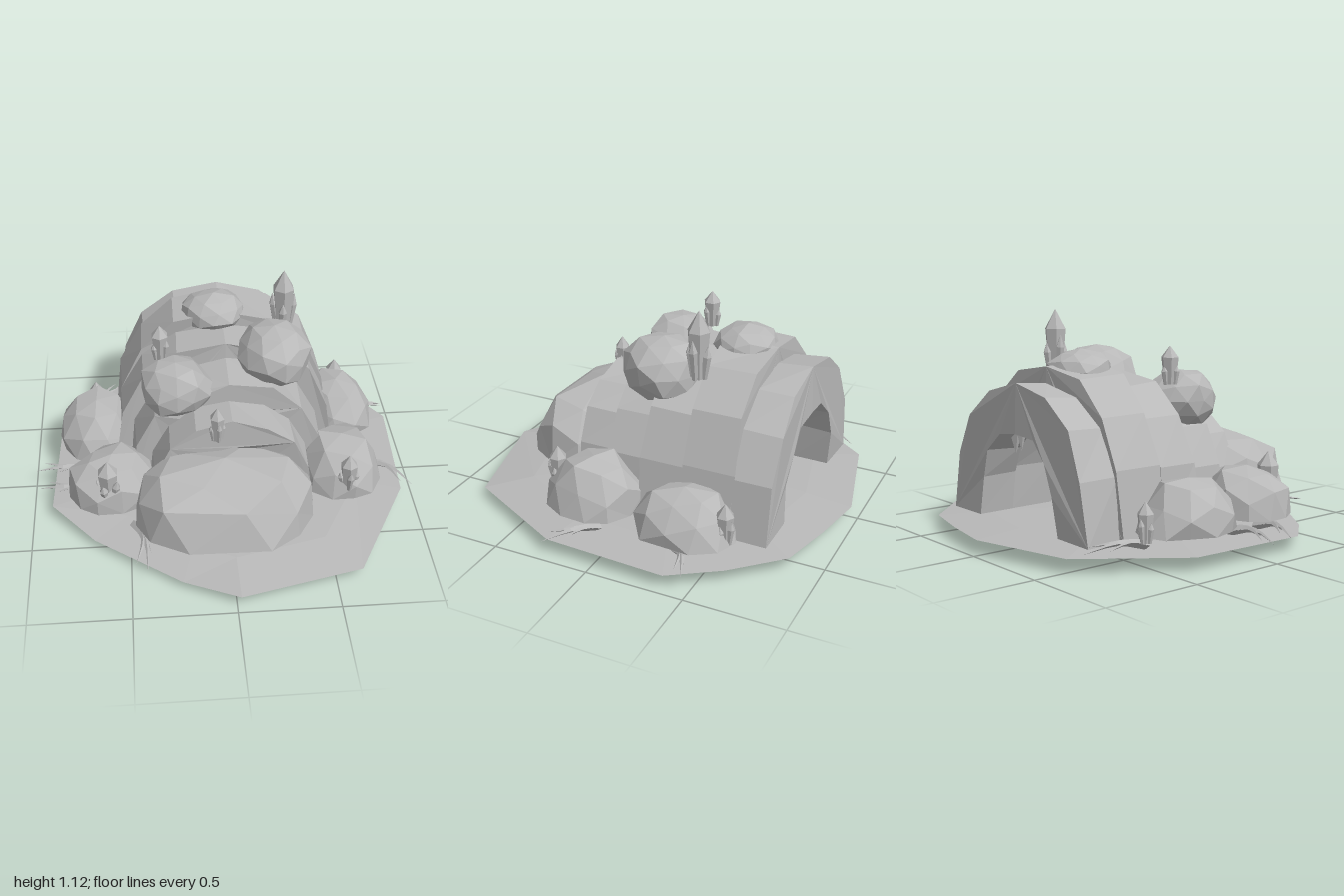
import * as THREE from 'three';

const stone = new THREE.MeshStandardMaterial({ color: 0xb8b8b8, flatShading: true });
stone.name = 'grey stone';

// Repeatable value in -0.5..0.5 from a position, so shared corners move together
function noise(x, y, z, seed) {
  const r = (v) => Math.round(v * 1000) / 1000 + 0;
  const s = Math.sin(r(x) * 12.99 + r(y) * 78.23 + r(z) * 37.72 + seed * 9.17) * 43758.55;
  return s - Math.floor(s) - 0.5;
}

const soften = (v, power) => Math.sign(v) * Math.pow(Math.abs(v), power);

function part(name, geometry, parent) {
  const mesh = new THREE.Mesh(geometry, stone);
  mesh.name = name;
  parent.add(mesh);
  return mesh;
}

// Faceted boulder, cut flat below floorY (in unit-sphere height); power under 1 makes it blockier
function boulder(name, parent, centre, size, floorY, seed, power = 1) {
  const g = new THREE.IcosahedronGeometry(1, 1);
  g.rotateY(seed * 1.3);
  const p = g.attributes.position;
  const v = new THREE.Vector3();
  for (let i = 0; i < p.count; i++) {
    v.fromBufferAttribute(p, i);
    v.multiplyScalar(1 + 0.16 * noise(v.x, v.y, v.z, seed));
    p.setXYZ(i, soften(v.x, power) * size[0], Math.max(soften(v.y, power), floorY) * size[1], v.z * size[2]);
  }
  g.computeVertexNormals();
  part(name, g, parent).position.set(...centre);
}

// Shallow irregular ground slab: top fan, and a bottom bulging downwards
function groundGeometry() {
  // Rim corners: x, z, height
  const rim = [[0.02, -0.97, 0.07], [0.3, -0.92, 0.07], [0.58, -0.85, 0.07], [0.8, -0.62, 0.07],
    [0.96, -0.38, 0.07], [0.93, 0.25, 0.07], [0.63, 0.81, 0.055], [0.02, 0.96, 0.06], [-0.25, 0.82, 0.04],
    [-0.68, 0.5, 0.045], [-0.9, 0.25, 0.07], [-0.87, -0.38, 0.07], [-0.52, -0.84, 0.07]];
  const pos = [];
  const at = (i, k, y) => {
    const [x, z, h] = rim[i % rim.length];
    return [x * k, y ?? h, z * k];
  };
  for (let i = 0; i < rim.length; i++) {
    const a = at(i, 1), b = at(i + 1, 1);
    const ta = at(i, 0.75, 0.09), tb = at(i + 1, 0.75, 0.09);
    const ba = at(i, 0.6, 0.02), bb = at(i + 1, 0.6, 0.02);
    pos.push(...a, ...ta, ...b, ...b, ...ta, ...tb, 0, 0.105, 0, ...tb, ...ta);
    pos.push(...a, ...b, ...ba, ...b, ...bb, ...ba, 0, 0, 0, ...ba, ...bb);
  }
  const g = new THREE.BufferGeometry();
  g.setAttribute('position', new THREE.Float32BufferAttribute(pos, 3));
  g.computeVertexNormals();
  return g;
}

// One thick rough arch of the tunnel, from z0 (back) to z1 (front)
function archGeometry(halfWidth, top, z0, z1, thick, seed) {
  const n = 8, base = 0.1;
  const outline = (w, h) => Array.from({ length: n + 1 }, (_, i) => {
    const a = (i / n) * Math.PI;
    return new THREE.Vector2(soften(Math.cos(a), 0.88) * w, base + (i % n ? soften(Math.sin(a), 0.88) * h : 0));
  });
  const outer = outline(halfWidth, top - base);
  const inner = outline(halfWidth - thick, top - base - thick).reverse();
  const g = new THREE.ExtrudeGeometry(new THREE.Shape([...outer, ...inner]), { depth: z1 - z0, bevelEnabled: false });
  const p = g.attributes.position;
  for (let i = 0; i < p.count; i++) {
    const x = p.getX(i), y = p.getY(i), z = p.getZ(i);
    const k = 1 + 0.04 * noise(x, y, z, seed);
    p.setXYZ(i, x * k, base + (y - base) * k, z + 0.025 * noise(y, z, x, seed));
  }
  g.computeVertexNormals();
  return g.translate(0.025, 0, z0);
}

// Hexagonal crystal with a pointed tip and narrower foot
function crystalGeometry(r, h) {
  const profile = [[0, 0], [r * 0.65, 0], [r, h * 0.7], [0, h]].map((p) => new THREE.Vector2(...p));
  return new THREE.LatheGeometry(profile, 6);
}

function crystalCluster(parent, x, y, z, r, h, shards, splay = 0.12) {
  const group = new THREE.Group();
  group.name = 'crystalCluster';
  group.position.set(x, y, z);
  part('mainCrystal', crystalGeometry(r, h), group);
  for (let i = 0; i < shards; i++) {
    const a = (i / shards) * Math.PI * 2 + x * 5;
    const shard = part('smallCrystal', crystalGeometry(r * 0.4, h * (0.5 + 0.12 * (i % 2))), group);
    shard.position.set(Math.cos(a) * r * 0.55, 0, Math.sin(a) * r * 0.55);
    shard.rotation.set(Math.sin(a) * splay, 0, -Math.cos(a) * splay);
  }
  parent.add(group);
}

// Tube narrowing to a point along its path
function bladeGeometry(points, radius) {
  const n = 6, sides = 4;
  const curve = new THREE.CatmullRomCurve3(points.map((p) => new THREE.Vector3(...p)));
  const g = new THREE.TubeGeometry(curve, n, radius, sides, false);
  const p = g.attributes.position;
  const v = new THREE.Vector3();
  for (let i = 0; i < p.count; i++) {
    const t = Math.floor(i / (sides + 1)) / n;
    v.fromBufferAttribute(p, i).lerp(curve.getPointAt(t), t);
    p.setXYZ(i, v.x, v.y, v.z);
  }
  return g;
}

// Three curved blades lying close together, from a root towards a tip
function tuft(parent, [x0, z0], [x1, z1]) {
  const group = new THREE.Group();
  group.name = 'grassTuft';
  const dx = x1 - x0, dz = z1 - z0;
  [[0, 1, 0.09], [0.13, 0.85, 0.11], [-0.12, 0.65, 0.1]].forEach(([side, k, y]) => {
    const sx = -dz * side, sz = dx * side;
    part('grassBlade', bladeGeometry([[x0, 0.1, z0],
      [x0 + dx * k * 0.5 + sx * 0.2 + dz * 0.08, 0.13, z0 + dz * k * 0.5 + sz * 0.2 - dx * 0.08],
      [x0 + dx * k + sx, y, z0 + dz * k + sz]], 0.024), group);
  });
  parent.add(group);
}

export function createModel() {
  const model = new THREE.Group();
  model.name = 'rockyTunnel';
  part('ground', groundGeometry(), model);

  // Stepped tunnel: half width, top height, back z, front z, wall thickness
  const tunnel = new THREE.Group();
  tunnel.name = 'tunnel';
  model.add(tunnel);
  [[0.56, 0.79, -0.74, -0.54, 0.23], [0.59, 0.87, -0.55, -0.29, 0.25], [0.58, 0.82, -0.3, -0.07, 0.23],
    [0.51, 0.72, -0.08, 0.15, 0.18], [0.42, 0.63, 0.14, 0.34, 0.15]]
    .forEach(([w, t, z0, z1, d], i) => part('tunnelArch', archGeometry(w, t, z0, z1, d, i + 1), tunnel));

  // Stalactites under the open end
  [[-0.16, 0.51, 0.12], [-0.04, 0.56, 0.1], [0.09, 0.56, 0.13], [0.2, 0.51, 0.11]].forEach(([x, y, h], i) => {
    const spike = part('stalactite', new THREE.ConeGeometry(0.035, h, 5), tunnel);
    spike.rotation.x = Math.PI;
    spike.position.set(x, y - h / 2 + 0.02, -0.66 + 0.04 * (i % 2));
  });

  // Boulders: centre, size, flat cut height
  boulder('frontBoulder', model, [-0.02, 0.165, 0.45], [0.475, 0.32, 0.31], 0, 1, 0.7);
  boulder('bedStone', model, [0, 0.09, 0.3], [0.4, 0.075, 0.16], 0, 9, 0.8);
  boulder('upperBoulder', model, [-0.24, 0.685, 0.085], [0.185, 0.15, 0.185], -1, 2);
  boulder('upperBoulder', model, [0.27, 0.77, -0.055], [0.195, 0.17, 0.21], -0.95, 3);
  boulder('topBoulder', model, [-0.015, 0.84, -0.375], [0.175, 0.1, 0.16], -1, 4);
  boulder('groundBoulder', model, [-0.58, 0.14, 0.22], [0.24, 0.25, 0.21], 0, 5);
  boulder('groundBoulder', model, [-0.66, 0.14, -0.24], [0.22, 0.26, 0.26], 0, 6);
  boulder('groundBoulder', model, [0.61, 0.14, 0.16], [0.22, 0.26, 0.25], 0, 7);
  boulder('groundBoulder', model, [0.66, 0.14, -0.35], [0.21, 0.24, 0.26], 0, 8);

  // Crystals: x, y, z, radius, height, small shards, splay
  [[0.34, 0.78, -0.27, 0.058, 0.34, 4], [-0.31, 0.77, -0.05, 0.045, 0.19, 3], [-0.05, 0.54, 0.35, 0.038, 0.19, 4],
    [-0.6, 0.2, 0.35, 0.055, 0.23, 5, 0.25], [0.62, 0.2, 0.36, 0.045, 0.2, 4, 0.2], [0.69, 0.14, -0.57, 0.045, 0.21, 4],
    [-0.67, 0.12, -0.51, 0.04, 0.19, 4]].forEach((c) => crystalCluster(model, ...c));

  // Grass tufts: root and tip in x, z
  [[[-0.7, -0.02], [-1, -0.015]], [[-0.7, 0.16], [-0.97, 0.13]], [[-0.64, -0.48], [-0.57, -0.79]],
    [[0.78, -0.36], [0.96, -0.47]], [[0.76, 0.06], [0.99, 0.25]], [[-0.48, 0.45], [-0.42, 0.79]]]
    .forEach(([a, b]) => tuft(model, a, b));

  return model;
}
